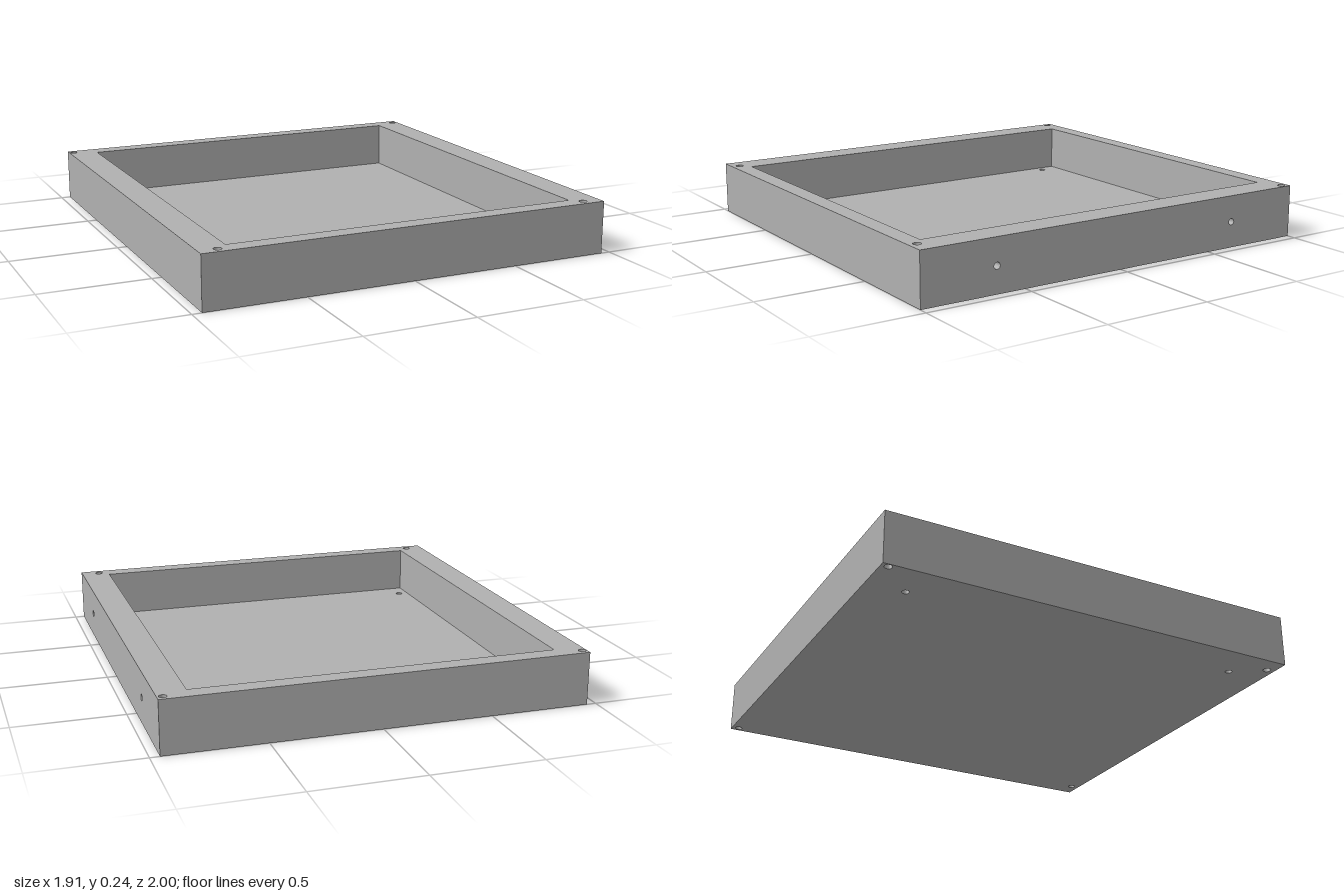
import * as THREE from 'three';

const W = 0.957, D = 1, H = 0.243;      // half width, half depth, height
const IW = 0.823, ID = 0.919;           // half size of the cavity
const FLOOR = 0.025, LOW = 0.08, HIGH = 0.163, POCKET = 0.06;

// [x, z, radius]
const cornerHoles = [[-0.935, -0.967, 0.017], [0.931, -0.967, 0.017], [-0.873, 0.961, 0.018], [0.871, 0.961, 0.018]];
const drainHoles = [[-0.777, -0.82, 0.016], [-0.777, 0.816, 0.016]];
const sideHoles = [[-0.64, 0.121, 0.015], [0.635, 0.121, 0.015]];   // [-z, y, radius]

function rect(Type, x0, y0, x1, y1) {
  return new Type([[x0, y0], [x1, y0], [x1, y1], [x0, y1]].map(p => new THREE.Vector2(...p)));
}

function circle([x, y, r]) {
  return new THREE.Path().absarc(x, y, r, 0, Math.PI * 2, true);
}

function extrude(shape, depth) {
  return new THREE.ExtrudeGeometry(shape, { depth, bevelEnabled: false, curveSegments: 12 });
}

// Horizontal slab between two heights, with round holes and an optional cavity
function layer(y0, y1, holes, open, right = W) {
  const shape = rect(THREE.Shape, -W, -D, right, D);
  if (open) shape.holes.push(rect(THREE.Path, -IW, -ID, IW, ID));
  holes.forEach(([x, z, r]) => shape.holes.push(circle([x, -z, r])));
  return extrude(shape, y1 - y0).rotateX(-Math.PI / 2).translate(0, y0, 0);
}

export function createModel() {
  const group = new THREE.Group();
  const grey = new THREE.MeshStandardMaterial({ color: 0xb0b0b0 });
  grey.name = 'grey';
  const add = (name, geometry) => {
    const mesh = new THREE.Mesh(geometry, grey);
    mesh.name = name;
    group.add(mesh);
  };

  // Thin floor with screw holes and two through holes
  add('floor', layer(0, FLOOR, [...cornerHoles, ...drainHoles], false));

  // Walls, with blind screw holes from below and above
  add('lowerWalls', layer(FLOOR, LOW, cornerHoles, true));
  add('middleWalls', layer(LOW, HIGH, [], true, W - POCKET));
  add('upperWalls', layer(HIGH, H, cornerHoles, true));

  // Outer strip of the left wall, with two blind side holes
  const strip = rect(THREE.Shape, -D, LOW, D, HIGH);
  sideHoles.forEach(h => strip.holes.push(circle(h)));
  add('leftWallStrip', extrude(strip, POCKET).rotateY(Math.PI / 2).translate(W - POCKET, 0, 0));

  return group;
}
